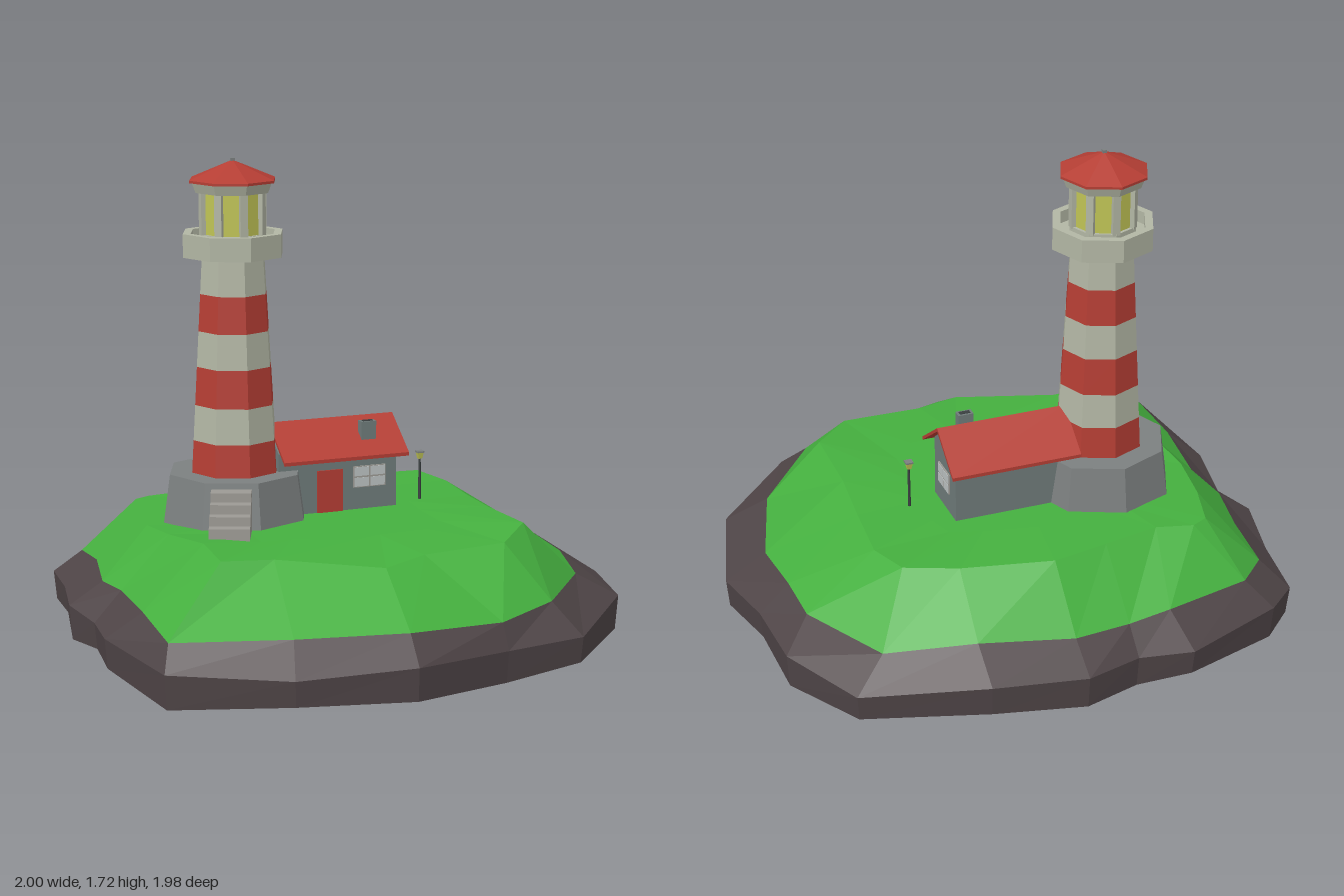
import * as THREE from 'three';

const mat = (color) => new THREE.MeshStandardMaterial({ color, flatShading: true, roughness: 0.9 });
const M = {
  grass: mat(0x45b03f), rock: mat(0x4f4547), white: mat(0xb2b6a4), red: mat(0xb53e34),
  stone: mat(0x7c8080), wall: mat(0x6f7b7a), step: mat(0x9c9a94), dark: mat(0x3a3f40),
  glow: mat(0xc0c455), pane: mat(0xbcc2c2),
};

function add(parent, name, geometry, material, x = 0, y = 0, z = 0) {
  const mesh = new THREE.Mesh(geometry, material);
  mesh.name = name;
  mesh.position.set(x, y, z);
  parent.add(mesh);
  return mesh;
}

const box = (w, h, d) => new THREE.BoxGeometry(w, h, d);
// Eight-sided frustum between two heights
function octagon(parent, name, material, rBottom, rTop, y0, y1) {
  return add(parent, name, new THREE.CylinderGeometry(rTop, rBottom, y1 - y0, 8), material, 0, (y0 + y1) / 2, 0);
}

// Skin a stack of closed rings; optional points close the bottom and top
function loft(rings, bottom, top) {
  const pos = [];
  const n = rings[0].length;
  const tri = (...pts) => pts.forEach((p) => pos.push(...p));
  for (let i = 0; i < n; i++) {
    const j = (i + 1) % n;
    for (let k = 0; k + 1 < rings.length; k++) {
      const a = rings[k], b = rings[k + 1];
      tri(a[j], a[i], b[i]);
      tri(a[j], b[i], b[j]);
    }
    const last = rings[rings.length - 1];
    if (bottom) tri(bottom, rings[0][i], rings[0][j]);
    if (top) tri(last[j], last[i], top);
  }
  const g = new THREE.BufferGeometry();
  g.setAttribute('position', new THREE.Float32BufferAttribute(pos, 3));
  g.computeVertexNormals();
  return g;
}

function island() {
  const g = new THREE.Group();
  g.name = 'island';
  // Outlines as [x, z], running clockwise seen from above
  const outer = [[0, -1], [0.34, -0.95], [0.78, -0.81], [0.94, -0.51], [0.95, -0.21], [1, 0.06], [0.89, 0.45],
    [0.56, 0.82], [0.25, 0.87], [-0.13, 0.98], [-0.54, 0.9], [-0.93, 0.71], [-1, 0.26], [-0.96, 0], [-1, -0.18],
    [-0.94, -0.45], [-0.91, -0.71], [-0.78, -0.84], [-0.41, -0.97], [-0.21, -0.94]];
  const shore = [[0, -0.87], [0.34, -0.81], [0.66, -0.73], [0.83, -0.4], [0.84, -0.21], [0.85, 0.05], [0.74, 0.4],
    [0.49, 0.71], [0.25, 0.82], [-0.12, 0.88], [-0.5, 0.78], [-0.89, 0.63], [-0.88, 0.32], [-0.85, -0.03],
    [-0.88, -0.16], [-0.83, -0.4], [-0.82, -0.63], [-0.7, -0.76], [-0.37, -0.84], [-0.21, -0.85]];
  const crest = [[0, -0.67, 0.41], [0.33, -0.6, 0.41], [0.52, -0.54, 0.42], [0.57, -0.38, 0.41], [0.55, -0.13, 0.41],
    [0.53, 0.1, 0.42], [0.53, 0.39, 0.43], [0.38, 0.55, 0.41], [0.07, 0.56, 0.4], [-0.1, 0.62, 0.385],
    [-0.45, 0.46, 0.41], [-0.64, 0.45, 0.42], [-0.63, 0.24, 0.43], [-0.68, 0, 0.41], [-0.7, -0.19, 0.4],
    [-0.67, -0.4, 0.4], [-0.62, -0.58, 0.4], [-0.56, -0.61, 0.4], [-0.42, -0.59, 0.41], [-0.21, -0.63, 0.41]];
  const wobble = (i) => 0.012 * Math.sin(i * 2.3);
  const base = outer.map(([x, z], i) => [x * 0.99, Math.max(0, 0.015 + wobble(i + 2)), z * 0.99]);
  const mid = outer.map(([x, z], i) => [x, 0.125 + wobble(i), z]);
  const top = shore.map(([x, z], i) => [x, 0.22 + wobble(i + 5), z]);
  const edge = crest.map(([x, z, y]) => [x, y, z]);
  const inner = crest.map(([x, z]) => [x * 0.6 - 0.03, 0.413, z * 0.6 - 0.04]);
  add(g, 'rock', loft([base, mid, top], [0, 0, 0]), M.rock);
  add(g, 'grass', loft([top, edge, inner], null, [-0.05, 0.412, -0.05]), M.grass);
  return g;
}

function lighthouse() {
  const g = new THREE.Group();
  g.name = 'lighthouse';
  octagon(g, 'plinth', M.stone, 0.277, 0.25, 0.39, 0.58);

  // Striped tapering tower
  const levels = [0.58, 0.7, 0.83, 0.97, 1.1, 1.235, 1.37];
  const radius = (y) => 0.165 - ((y - 0.58) / 0.79) * 0.046;
  for (let i = 0; i < 6; i++) {
    octagon(g, 'towerBand', i % 2 ? M.white : M.red, radius(levels[i]), radius(levels[i + 1]), levels[i], levels[i + 1]);
  }

  // Gallery with a parapet around its floor
  const gallery = [[0, 1.37], [0.19, 1.37], [0.19, 1.455], [0.16, 1.455], [0.16, 1.41], [0, 1.41]];
  add(g, 'gallery', new THREE.LatheGeometry(gallery.map((p) => new THREE.Vector2(...p)), 8), M.white);

  // Lantern room
  octagon(g, 'lanternSill', M.white, 0.125, 0.125, 1.41, 1.45);
  octagon(g, 'lanternGlass', M.glow, 0.113, 0.113, 1.45, 1.6);
  for (let i = 0; i < 8; i++) {
    const a = (i * Math.PI) / 4;
    const post = add(g, 'lanternPost', box(0.028, 0.16, 0.024), M.white, Math.sin(a) * 0.112, 1.525, Math.cos(a) * 0.112);
    post.rotation.y = a;
  }
  octagon(g, 'lanternCornice', M.white, 0.14, 0.155, 1.6, 1.64);
  octagon(g, 'roofEave', M.red, 0.163, 0.163, 1.636, 1.645);
  octagon(g, 'roof', M.red, 0.163, 0.008, 1.645, 1.71);
  add(g, 'roofKnob', box(0.014, 0.016, 0.014), M.stone, 0, 1.712, 0);

  // Steps leading out from one face of the plinth
  const steps = new THREE.Group();
  steps.name = 'steps';
  for (let i = 0; i < 4; i++) {
    const h = 0.07 + i * 0.033, end = 0.418 - i * 0.042;
    add(steps, 'step', box(0.145, h, end - 0.2), M.step, 0, 0.39 + h / 2, (end + 0.2) / 2);
  }
  steps.rotation.y = -Math.PI / 8;
  g.add(steps);

  g.position.set(-0.36, 0, -0.19);
  return g;
}

// Prism with a [z, y] section, running along x
function prism(points, length) {
  const shape = new THREE.Shape(points.map((p) => new THREE.Vector2(...p)));
  return new THREE.ExtrudeGeometry(shape, { depth: length, bevelEnabled: false }).rotateY(Math.PI / 2);
}

function cottageWindow(w, h) {
  const g = new THREE.Group();
  g.name = 'window';
  add(g, 'windowFrame', box(w, h, 0.006), M.step);
  for (const sx of [-1, 1]) {
    for (const sy of [-1, 1]) {
      add(g, 'windowPane', box(w * 0.44, h * 0.42, 0.006), M.pane, sx * w * 0.25, sy * h * 0.25, 0.002);
    }
  }
  return g;
}

function cottage() {
  const g = new THREE.Group();
  g.name = 'cottage';
  const cz = -0.192;
  add(g, 'walls', prism([[-0.11, 0.39], [0.11, 0.39], [0.11, 0.645], [0, 0.73], [-0.11, 0.645]], 0.465), M.wall, -0.23, 0, cz);
  add(g, 'roof', prism([[-0.162, 0.61], [0, 0.728], [0.162, 0.61], [0.162, 0.623], [0, 0.742], [-0.162, 0.623]], 0.49),
    M.red, -0.226, 0, cz);
  add(g, 'door', box(0.1, 0.17, 0.01), M.red, -0.03, 0.485, -0.081);
  const front = cottageWindow(0.128, 0.08);
  front.position.set(0.126, 0.535, -0.08);
  const side = cottageWindow(0.11, 0.08);
  side.position.set(0.237, 0.53, -0.187);
  side.rotation.y = Math.PI / 2;
  g.add(front, side);
  add(g, 'chimney', box(0.058, 0.09, 0.034), M.wall, 0.13, 0.692, -0.11);
  add(g, 'chimneyFlue', box(0.04, 0.004, 0.018), M.dark, 0.13, 0.737, -0.11);
  return g;
}

function lamp() {
  const g = new THREE.Group();
  g.name = 'lamp';
  add(g, 'lampPost', new THREE.CylinderGeometry(0.004, 0.006, 0.17, 6), M.dark, 0, 0.485, 0);
  add(g, 'lampGlass', new THREE.CylinderGeometry(0.017, 0.01, 0.025, 4), M.glow, 0, 0.58, 0).rotation.y = Math.PI / 4;
  add(g, 'lampCap', box(0.028, 0.006, 0.028), M.stone, 0, 0.594, 0);
  g.position.set(0.355, 0, -0.14);
  return g;
}

export function createModel() {
  const model = new THREE.Group();
  model.name = 'lighthouseIsland';
  model.add(island(), lighthouse(), cottage(), lamp());
  return model;
}
